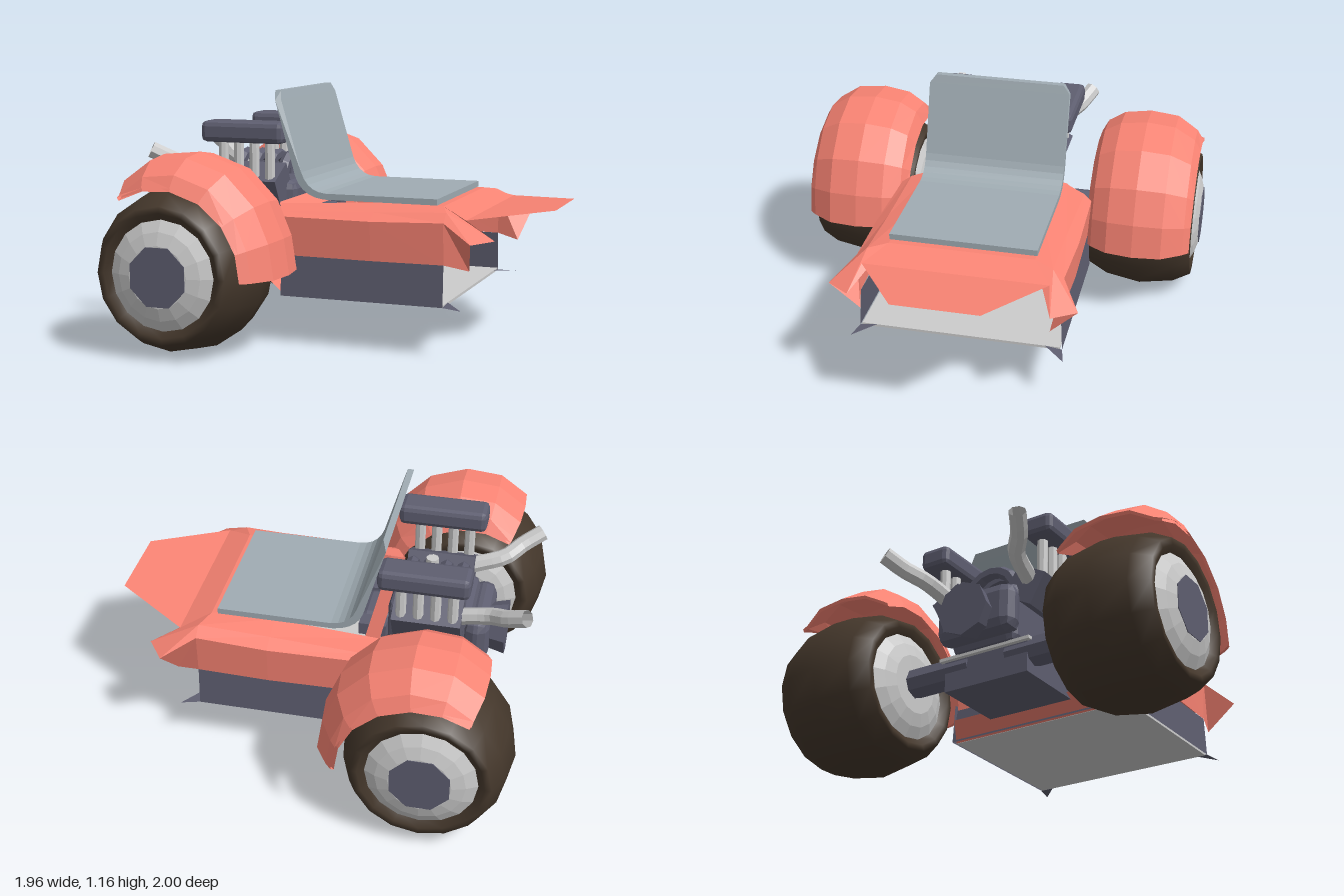
import * as THREE from 'three';
import { RoundedBoxGeometry } from 'three/addons/geometries/RoundedBoxGeometry.js';

const mat = (color, extra = {}) => new THREE.MeshStandardMaterial({ color, flatShading: true, ...extra });
const sheet = { side: THREE.DoubleSide };
const RED = mat(0xfa8474, sheet);
const DARK = mat(0x5e5e70, sheet);
const SEAT = mat(0xa0acb3, sheet);
const GREY = mat(0xcccccc, sheet);
const TYRE = mat(0x44372b, { flatShading: false, side: THREE.DoubleSide });

export function createModel() {
  const root = new THREE.Group();
  const add = (name, geo, material, x = 0, y = 0, z = 0) => {
    const m = new THREE.Mesh(geo, material);
    m.name = name;
    m.position.set(x, y, z);
    root.add(m);
    return m;
  };
  const box = (name, material, x0, x1, y0, y1, z0, z1, bevel = 0) => {
    const size = [x1 - x0, y1 - y0, Math.abs(z1 - z0)];
    const geo = bevel ? new RoundedBoxGeometry(...size, 1, bevel) : new THREE.BoxGeometry(...size);
    return add(name, geo, material, (x0 + x1) / 2, (y0 + y1) / 2, (z0 + z1) / 2);
  };

  // Sheet joining equal-length rows of [x, y, z] points
  const loft = (rows) => {
    const n = rows[0].length, idx = [];
    for (let i = 0; i < rows.length - 1; i++)
      for (let j = 0; j < n - 1; j++) {
        const a = i * n + j, b = a + n;
        idx.push(a, b, a + 1, b, b + 1, a + 1);
      }
    const g = new THREE.BufferGeometry();
    g.setAttribute('position', new THREE.Float32BufferAttribute(rows.flat(2), 3));
    g.setIndex(idx);
    g.computeVertexNormals();
    return g;
  };
  // Sheet spanning the full width: rows of [x, y, half width]
  const span = (rows) => loft(rows.map(([x, y, w]) => [[x, y, -w], [x, y, w]]));
  const lathe = (pts, seg) =>
    new THREE.LatheGeometry(pts.map(([r, h]) => new THREE.Vector2(r, h)), seg).rotateX(Math.PI / 2);

  const AX = -0.6, AY = 0.385;
  for (const s of [1, -1]) {
    const side = s > 0 ? 'left' : 'right';

    // Wheels with shallow conical hubs
    const tyre = [[0.245, -0.23], [0.28, -0.255], [0.31, -0.255], [0.355, -0.17], [0.383, 0],
      [0.355, 0.17], [0.31, 0.255], [0.28, 0.255], [0.245, 0.23]];
    add(side + 'Tyre', lathe(tyre, 16), TYRE, AX, AY, s * 0.715);
    const rim = [[0, -0.28], [0.14, -0.28], [0.2, -0.262], [0.25, -0.235],
      [0.25, 0.235], [0.2, 0.262], [0.14, 0.28], [0, 0.28]];
    add(side + 'Rim', lathe(rim, 16), GREY, AX, AY, s * 0.715);
    add(side + 'HubCap', new THREE.CylinderGeometry(0.143, 0.143, 0.02, 8, 1, false, Math.PI / 8).rotateX(Math.PI / 2),
      DARK, AX, AY, s * 0.988);
    add(side + 'Axle', new THREE.CylinderGeometry(0.07, 0.07, 0.4, 8).rotateX(Math.PI / 2), DARK, AX, AY, s * 0.3);

    // Domed wheel fender: arc sections from the front edge over the tyre
    const arc = [[-1, 0.94], [18, 0.94], [38, 0.97], [60, 1], [82, 1], [102, 0.98], [121, 0.9]];
    const cross = [[0.46, 0.395], [0.49, 0.46], [0.57, 0.51], [0.7, 0.53], [0.84, 0.515], [0.94, 0.45], [0.97, 0.395]];
    const skin = (inset) => arc.map(([deg, k]) => cross.map(([z, r], j) => {
      const a = THREE.MathUtils.degToRad(deg);
      const q = (j === 0 || j === 6 ? r : r * k) - inset;
      return [AX + q * Math.cos(a), AY + q * Math.sin(a), s * z];
    }));
    const outer = skin(0), inner = skin(0.015);
    add(side + 'Fender', loft(outer), RED);
    add(side + 'FenderLining', loft(inner), RED);
    for (const i of [0, arc.length - 1]) add(side + 'FenderLip', loft([outer[i], inner[i]]), RED);

    // Body side: dark skirt, red panel, flared front wing
    add(side + 'Skirt', loft([
      [[-0.24, 0.23, s * 0.48], [0.54, 0.23, s * 0.48]],
      [[-0.24, 0.42, s * 0.47], [0.54, 0.42, s * 0.47]]]), DARK);
    add(side + 'SkirtTip', loft([
      [[0.54, 0.23, s * 0.48], [0.63, 0.225, s * 0.5]],
      [[0.54, 0.24, s * 0.4], [0.54, 0.24, s * 0.4]]]), DARK);
    add(side + 'BodyPanel', loft([
      [[-0.22, 0.42, s * 0.47], [0.2, 0.42, s * 0.48], [0.54, 0.42, s * 0.47], [0.65, 0.395, s * 0.44]],
      [[-0.22, 0.6, s * 0.48], [0.2, 0.6, s * 0.49], [0.54, 0.61, s * 0.48], [0.69, 0.535, s * 0.57]],
      [[-0.25, 0.62, s * 0.44], [0.2, 0.635, s * 0.43], [0.54, 0.65, s * 0.43], [0.77, 0.54, s * 0.46]],
      [[-0.3, 0.64, s * 0.34], [0.2, 0.665, s * 0.33], [0.5, 0.665, s * 0.34], [0.63, 0.62, s * 0.43]]]), RED);

    // Engine banks, stacks and exhausts
    box(side + 'AirBox', DARK, -0.7, -0.28, 0.915, 1.015, s * 0.21, s * 0.36, 0.025);
    box(side + 'CylinderBank', DARK, -0.66, -0.34, 0.62, 0.78, s * 0.12, s * 0.28)
      .rotation.x = s * 0.5;
    for (let i = 0; i < 4; i++)
      add(side + 'IntakeStack', new THREE.CylinderGeometry(0.025, 0.025, 0.2, 8), GREY, -0.62 + i * 0.08, 0.84, s * 0.27);
    box(side + 'EngineMount', DARK, -0.43, -0.25, 0.4, 0.46, s * 0.3, s * 0.38);
    const path = new THREE.CatmullRomCurve3([[-0.55, 0.7, 0.2], [-0.67, 0.74, 0.22], [-0.8, 0.78, 0.25],
      [-0.87, 0.82, 0.31], [-0.96, 0.87, 0.36]].map(([x, y, z]) => new THREE.Vector3(x, y, s * z)));
    add(side + 'Exhaust', new THREE.TubeGeometry(path, 12, 0.04, 8), GREY);
    const peg = add(side + 'FootPeg', new THREE.CylinderGeometry(0.025, 0.025, 0.17, 8), GREY, -0.12, 0.365, s * 0.36);
    peg.rotation.z = 0.2;
    box(side + 'GearboxLug', DARK, -0.3, -0.17, 0.54, 0.6, s * 0.11, s * 0.19);
  }

  // Deck running forward into the nose plate
  add('nose', span([[0.2, 0.665, 0.33], [0.5, 0.665, 0.34], [0.63, 0.62, 0.43], [0.98, 0.65, 0.2]]), RED);

  // Floor, ramped rear edge and bulkhead, open at the front
  box('floor', GREY, -0.22, 0.54, 0.228, 0.24, -0.47, 0.47);
  add('rearRamp', span([[-0.22, 0.23, 0.47], [-0.34, 0.29, 0.4]]), RED);
  add('lowerBulkhead', span([[-0.24, 0.23, 0.48], [-0.22, 0.4, 0.47]]), DARK);
  add('upperBulkhead', span([[-0.22, 0.4, 0.47], [-0.22, 0.6, 0.47], [-0.3, 0.645, 0.34]]), RED);
  box('bulkheadPlate', GREY, -0.23, -0.2, 0.39, 0.5, -0.2, 0.2);

  // Seat: one bent slab with clipped top corners
  const p = new THREE.Shape();
  p.moveTo(0.47, 0.695);
  p.lineTo(-0.07, 0.695);
  p.quadraticCurveTo(-0.16, 0.7, -0.19, 0.79);
  p.lineTo(-0.288, 1.125);
  p.lineTo(-0.3, 1.165);
  p.lineTo(-0.33, 1.165);
  p.lineTo(-0.318, 1.12);
  p.lineTo(-0.22, 0.77);
  p.quadraticCurveTo(-0.19, 0.68, -0.08, 0.667);
  p.lineTo(0.47, 0.667);
  const seat = new THREE.ExtrudeGeometry(p, { depth: 0.69, bevelEnabled: false, curveSegments: 5 }).translate(0, 0, -0.345);
  const pos = seat.attributes.position;
  for (let i = 0; i < pos.count; i++) if (pos.getY(i) > 1.15) pos.setZ(i, pos.getZ(i) * 0.91);
  seat.computeVertexNormals();
  add('seat', seat, SEAT);

  // Engine core
  box('crankcase', DARK, -0.7, -0.3, 0.42, 0.72, -0.17, 0.17, 0.04);
  box('timingCover', DARK, -0.78, -0.66, 0.45, 0.68, -0.2, 0.2, 0.05);
  box('gearbox', DARK, -0.32, -0.16, 0.46, 0.6, -0.11, 0.11, 0.03);
  box('sump', DARK, -0.66, -0.24, 0.27, 0.42, -0.22, 0.22);
  box('engineTray', GREY, -0.68, -0.24, 0.415, 0.43, -0.24, 0.24);
  add('pulley', new THREE.CylinderGeometry(0.13, 0.1, 0.12, 8).rotateZ(Math.PI / 2), DARK, -0.79, 0.55, 0);
  for (let i = 0; i < 4; i++)
    add('manifoldRunner', new THREE.TorusGeometry(0.13, 0.03, 6, 8, Math.PI).rotateY(Math.PI / 2), DARK, -0.62 + i * 0.08, 0.7, 0);
  add('fillerCap', new THREE.CylinderGeometry(0.03, 0.03, 0.08, 8), GREY, -0.48, 0.85, 0);
  return root;
}
